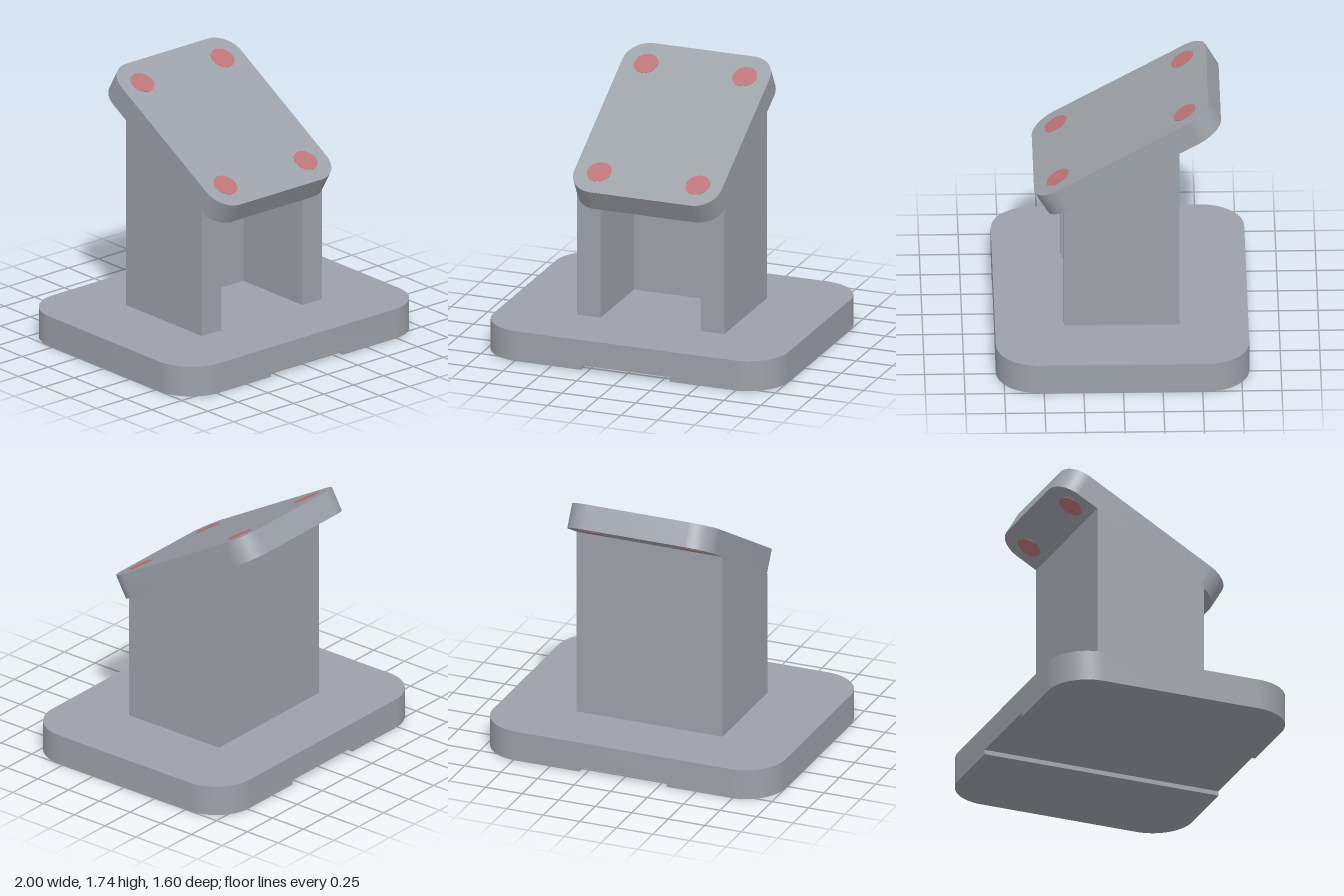
import * as THREE from 'three';
import { toCreasedNormals } from 'three/addons/utils/BufferGeometryUtils.js';

const grey = new THREE.MeshStandardMaterial({ color: 0x9ca0a8 });
grey.name = 'grey';
const red = new THREE.MeshStandardMaterial({ color: 0xbb7478 });
red.name = 'soft red';

const TILT = Math.PI / 6;
const PLATE_Y = 1.419; // height of the plate's top face at z = 0
const PLATE_T = 0.16;

function part(name, geometry, material = grey) {
  const mesh = new THREE.Mesh(geometry, material);
  mesh.name = name;
  return mesh;
}

// Flat slab from y = 0 to y = height, with separate corner radii at its -x and +x ends
function slab(x0, x1, depth, height, rLeft, rRight) {
  const d = depth / 2;
  const s = new THREE.Shape();
  s.moveTo(x0 + rLeft, -d);
  s.lineTo(x1 - rRight, -d);
  if (rRight) s.absarc(x1 - rRight, -d + rRight, rRight, -Math.PI / 2, 0);
  s.lineTo(x1, d - rRight);
  if (rRight) s.absarc(x1 - rRight, d - rRight, rRight, 0, Math.PI / 2);
  s.lineTo(x0 + rLeft, d);
  if (rLeft) s.absarc(x0 + rLeft, d - rLeft, rLeft, Math.PI / 2, Math.PI);
  s.lineTo(x0, -d + rLeft);
  if (rLeft) s.absarc(x0 + rLeft, -d + rLeft, rLeft, Math.PI, Math.PI * 1.5);
  const g = new THREE.ExtrudeGeometry(s, { depth: height, bevelEnabled: false, curveSegments: 16 });
  g.rotateX(-Math.PI / 2);
  return toCreasedNormals(g, 0.5);
}

// Upright wall whose top is cut along the underside of the tilted plate
function wall(x0, x1, zBack, zFront) {
  const top = (z) => PLATE_Y - PLATE_T / Math.cos(TILT) - z * Math.tan(TILT);
  const s = new THREE.Shape();
  s.moveTo(-zFront, 0.2);
  s.lineTo(-zBack, 0.2);
  s.lineTo(-zBack, top(zBack));
  s.lineTo(-zFront, top(zFront));
  s.closePath();
  const g = new THREE.ExtrudeGeometry(s, { depth: x1 - x0, bevelEnabled: false });
  g.rotateY(Math.PI / 2);
  g.translate(x0, 0, 0);
  return g;
}

export function createModel() {
  const model = new THREE.Group();
  model.name = 'tiltedMountingStand';

  // Base: slab on two feet that leave a shallow groove between them
  const base = new THREE.Group();
  base.name = 'base';
  const baseSlab = part('baseSlab', slab(-1, 1, 1.6, 0.17, 0.27, 0.27));
  baseSlab.position.y = 0.03;
  base.add(
    baseSlab,
    part('rightFoot', slab(-1, -0.3, 1.6, 0.03, 0.27, 0)),
    part('leftFoot', slab(0.3, 1, 1.6, 0.03, 0, 0.27))
  );

  // Column: two sides and a back, open to the front
  const column = new THREE.Group();
  column.name = 'column';
  column.add(
    part('rightWall', wall(-0.5, -0.34, -0.365, 0.365)),
    part('leftWall', wall(0.34, 0.5, -0.365, 0.365)),
    part('backWall', wall(-0.34, 0.34, -0.365, -0.205))
  );

  // Tilted plate with four plugged holes showing on both faces
  const plate = new THREE.Group();
  plate.name = 'tiltedPlate';
  plate.position.y = PLATE_Y;
  plate.rotation.x = TILT;
  const plateSlab = part('plateSlab', slab(-0.5, 0.5, 1.27, PLATE_T, 0.16, 0.16));
  plateSlab.position.y = -PLATE_T;
  plate.add(plateSlab);
  const plug = new THREE.CylinderGeometry(0.08, 0.08, PLATE_T + 0.004, 40);
  for (const x of [-0.335, 0.335]) {
    for (const z of [-0.462, 0.462]) {
      const mesh = part('holePlug', plug, red);
      mesh.position.set(x, -PLATE_T / 2, z);
      plate.add(mesh);
    }
  }

  model.add(base, column, plate);
  return model;
}
